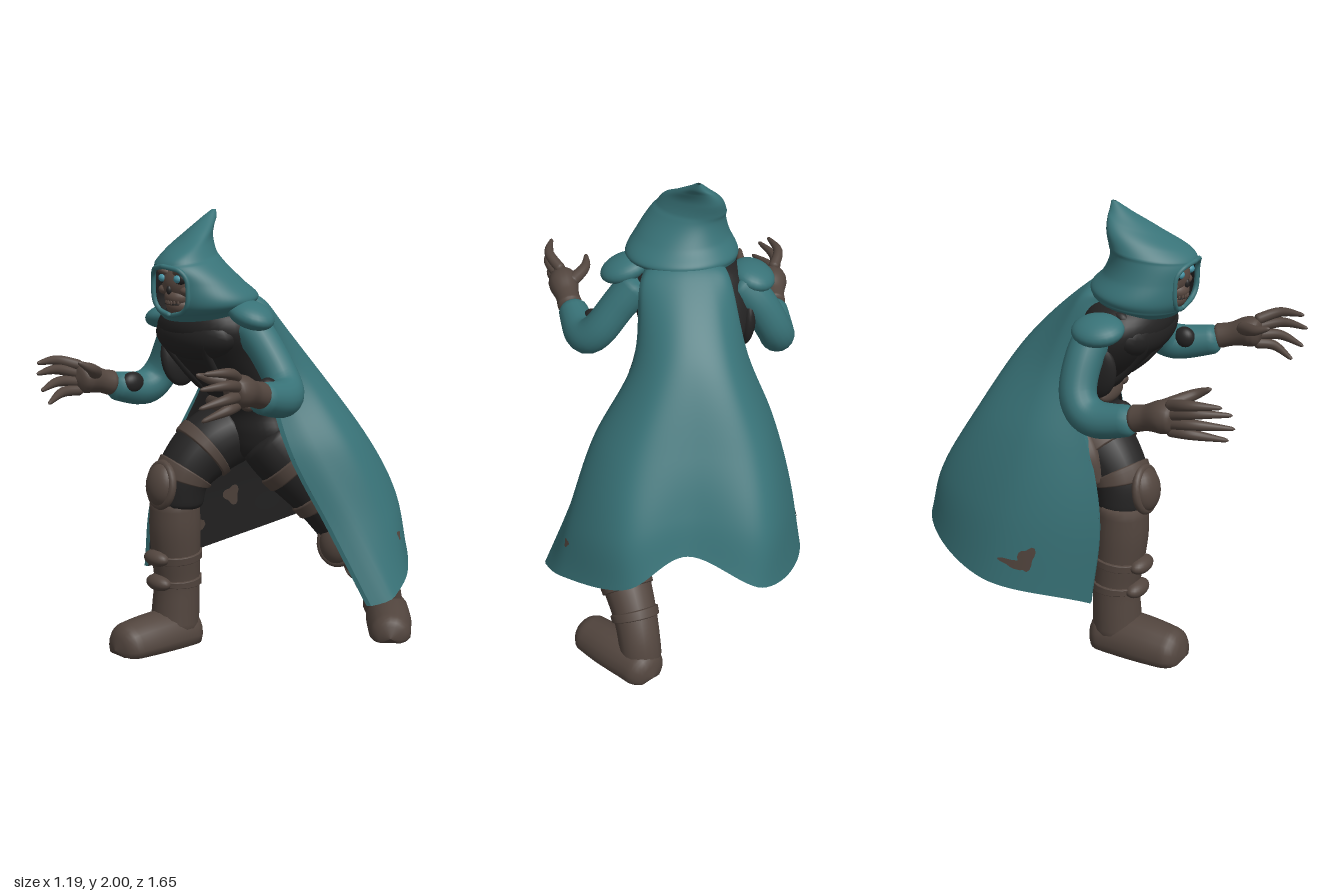
import * as THREE from 'three';
import { mergeVertices } from 'three/addons/utils/BufferGeometryUtils.js';
import { ParametricGeometry } from 'three/addons/geometries/ParametricGeometry.js';

const mat = (name, color, side = THREE.FrontSide) => {
  const m = new THREE.MeshStandardMaterial({ color, side });
  m.name = name;
  return m;
};

// Catmull-Rom sampling of equal-length number rows
function sample(rows, t) {
  const n = rows.length - 1, f = Math.min(Math.max(t, 0), 1) * n;
  const i = Math.min(Math.floor(f), n - 1), k = f - i;
  const b = rows[i], c = rows[i + 1];
  const a = rows[i - 1] || b.map((v, j) => 2 * v - c[j]);
  const d = rows[i + 2] || c.map((v, j) => 2 * v - b[j]);
  return b.map((v, j) => v + 0.5 * k * (c[j] - a[j] +
    k * (2 * a[j] - 5 * v + 4 * c[j] - d[j] + k * (3 * (v - c[j]) + d[j] - a[j]))));
}

function smooth(geo) {
  geo.deleteAttribute('uv');
  geo.deleteAttribute('normal');
  const g = mergeVertices(geo, 1e-5);
  g.computeVertexNormals();
  return g;
}

const surface = (f, nu, nv) =>
  smooth(new ParametricGeometry((u, v, p) => p.set(...f(u, v)), nu, nv));

// Round-ended tube through [x, y, z, radius] points, optionally flattened at the floor
function limbGeometry(pts, cap = 0.08, floor = false, seg = 32, sides = 18) {
  const curve = new THREE.CatmullRomCurve3(
    pts.map(p => new THREE.Vector3(p[0], p[1], p[2])), false, 'catmullrom', 0.5);
  const geo = new THREE.TubeGeometry(curve, seg, 1, sides);
  const pos = geo.attributes.position, v = new THREE.Vector3();
  for (let i = 0; i <= seg; i++) {
    const u = i / seg, c = curve.getPointAt(u), e = Math.min(u, 1 - u) / cap;
    const dome = e < 1 ? Math.sqrt(Math.max(0, 1 - (1 - e) ** 2)) : 1;
    const r = Math.max(sample(pts, curve.getUtoTmapping(u))[3] * dome, 0.0005);
    for (let j = 0; j <= sides; j++) {
      const k = i * (sides + 1) + j;
      v.fromBufferAttribute(pos, k).sub(c).multiplyScalar(r).add(c);
      pos.setXYZ(k, v.x, floor ? Math.max(v.y, 0) : v.y, v.z);
    }
  }
  return smooth(geo);
}

export function createModel() {
  const root = new THREE.Group();
  const teal = mat('teal cloth', 0x387277, THREE.DoubleSide);
  const black = mat('black cloth', 0x242323, THREE.DoubleSide);
  const brown = mat('brown leather', 0x52453e, THREE.DoubleSide);
  const bone = mat('dark bone', 0x5a4a42);
  const blue = mat('eye blue', 0x4592a3);

  const add = (name, geo, m) => {
    const mesh = new THREE.Mesh(geo, m);
    mesh.name = name;
    root.add(mesh);
    return mesh;
  };
  const limb = (name, pts, m, cap, floor) => add(name, limbGeometry(pts, cap, floor), m);
  const band = (name, pts, a, b, grow, m) => limb(name, [0, 1, 2, 3].map(i => {
    const p = sample(pts, a + (b - a) * i / 3);
    p[3] += grow;
    return p;
  }), m, 0.2);
  const ball = (name, m, x, y, z, sx, sy, sz, rx = 0, ry = 0, rz = 0) => {
    const b = add(name, new THREE.SphereGeometry(1, 24, 16), m);
    b.position.set(x, y, z);
    b.scale.set(sx, sy, sz);
    b.rotation.set(rx, ry, rz);
  };

  // Torso: elliptical sections [y, cx, cz, rx, rz]
  const torso = [[1.63, -0.09, 0.18, 0.02, 0.02], [1.58, -0.1, 0.17, 0.2, 0.15],
    [1.48, -0.115, 0.165, 0.27, 0.19], [1.35, -0.125, 0.1, 0.25, 0.18], [1.2, -0.1, 0, 0.2, 0.14],
    [1.1, -0.08, -0.06, 0.185, 0.13], [1.0, -0.07, -0.08, 0.21, 0.14], [0.9, -0.06, -0.09, 0.16, 0.12],
    [0.85, -0.06, -0.09, 0.01, 0.01]];
  add('torso', surface((u, v) => {
    const [y, cx, cz, rx, rz] = sample(torso, v), a = u * Math.PI * 2;
    return [cx + rx * Math.sin(a), y, cz + rz * Math.cos(a)];
  }, 36, 40), black);
  ball('chest', black, -0.11, 1.46, 0.24, 0.24, 0.115, 0.115, 0.3);
  for (const s of [-1, 1])
    limb('vestLapel', [[-0.11 + s * 0.2, 1.57, 0.2, 0.03], [-0.11 + s * 0.14, 1.45, 0.31, 0.02],
      [-0.11 + s * 0.1, 1.3, 0.22, 0.02], [-0.11 + s * 0.1, 1.19, 0.1, 0.02]], black);
  ball('vestFlap', black, -0.36, 1.33, 0.12, 0.045, 0.14, 0.11, 0, 0, 0.1);
  ball('beltBuckle', brown, -0.12, 1.135, 0.085, 0.1, 0.042, 0.03, -0.2);
  ball('beltPouch', brown, 0.03, 1.135, 0.06, 0.035, 0.025, 0.03);

  // Cape: six cross-sections from under the hood to the hem
  const sections = [
    [[-0.23, 1.57, 0.16], [-0.24, 1.62, 0.12], [-0.18, 1.65, 0.1], [-0.08, 1.66, 0.09],
      [0.01, 1.65, 0.1], [0.07, 1.63, 0.11], [0.09, 1.59, 0.13]],
    [[-0.28, 1.53, 0.05], [-0.27, 1.58, 0], [-0.19, 1.61, -0.02], [-0.07, 1.62, -0.03],
      [0.03, 1.61, -0.02], [0.1, 1.58, -0.01], [0.13, 1.54, 0.01]],
    [[-0.33, 1.25, 0], [-0.34, 1.28, -0.13], [-0.25, 1.33, -0.28], [-0.07, 1.36, -0.3],
      [0.07, 1.33, -0.28], [0.16, 1.28, -0.17], [0.15, 1.2, -0.03]],
    [[-0.4, 0.95, 0.12], [-0.46, 0.97, -0.18], [-0.36, 0.99, -0.48], [-0.07, 1.02, -0.51],
      [0.2, 0.98, -0.51], [0.35, 0.95, -0.29], [0.27, 0.92, -0.05]],
    [[-0.475, 0.65, 0.21], [-0.54, 0.66, -0.25], [-0.39, 0.71, -0.64], [-0.06, 0.79, -0.62],
      [0.24, 0.72, -0.66], [0.46, 0.63, -0.42], [0.43, 0.6, -0.15]],
    [[-0.54, 0.31, 0.2], [-0.59, 0.33, -0.33], [-0.37, 0.46, -0.725], [-0.04, 0.62, -0.68],
      [0.23, 0.49, -0.73], [0.51, 0.37, -0.49], [0.61, 0.265, -0.24]]];
  // point on the cape pushed inward by depth, with the left front edge curled in
  const cape = depth => (u, v) => {
    const [x, y, z] = sample(sections.map(s => sample(s, u)), v);
    const e = Math.max(0, 1 - (1 - u) / 0.05) ** 2;
    const dx = -0.05 - x, dz = 0.1 - z, l = depth / Math.max(0.05, Math.hypot(dx, dz));
    return [x + dx * l - 0.07 * v * e, y, z + dz * l + 0.03 * v * e];
  };
  const outer = cape(0), inner = cape(0.022);
  const rim = edge => (u, v) => sample([outer(...edge(u)), inner(...edge(u))], v);
  add('capeOutside', surface(outer, 80, 60), teal);
  add('capeLining', surface(inner, 80, 60), black);
  [u => [u, 1], u => [0, u], u => [1, u]].forEach(e => add('capeRim', surface(rim(e), 80, 1), teal));

  // Worn patches on the cape: [material, depth, u, v, ru, rv]
  [[brown, -0.004, 0.1, 0.91, 0.012, 0.03], [brown, -0.004, 0.115, 0.93, 0.025, 0.012],
    [brown, -0.004, 0.83, 0.87, 0.01, 0.014], [black, -0.004, 0.95, 0.4, 0.04, 0.025],
    [brown, 0.026, 0.1, 0.93, 0.03, 0.035], [brown, 0.026, 0.05, 0.96, 0.025, 0.015],
    [brown, 0.026, 0.2, 0.86, 0.015, 0.03], [brown, 0.026, 0.33, 0.92, 0.02, 0.03],
    [brown, 0.026, 0.68, 0.9, 0.02, 0.025], [brown, 0.026, 0.85, 0.88, 0.02, 0.03]]
    .forEach(([m, depth, u0, v0, ru, rv]) => add('capePatch', surface((s, t) => {
      const a = s * Math.PI * 2, r = t * (1 + 0.25 * Math.sin(3 * a + u0 * 20));
      return cape(depth)(u0 + ru * r * Math.cos(a), v0 + rv * r * Math.sin(a));
    }, 20, 4), m));

  // Hood: sections [y, cx, cz, rx, rz, tilt, front skew] with an oval face opening
  const hood = [[1.565, -0.09, 0.2, 0.2, 0.18, -0.2, 0], [1.62, -0.09, 0.215, 0.25, 0.215, -0.12, 0],
    [1.7, -0.1, 0.255, 0.205, 0.195, -0.05, 0.01], [1.78, -0.12, 0.285, 0.155, 0.175, -0.12, 0.04],
    [1.85, -0.13, 0.265, 0.112, 0.16, -0.25, 0.06], [1.91, -0.135, 0.205, 0.075, 0.105, -0.32, 0.04],
    [1.96, -0.14, 0.145, 0.04, 0.05, -0.2, 0.01], [2.0, -0.14, 0.105, 0.008, 0.01, 0, 0]];
  const hoodAt = grow => (u, v) => {
    const [y, cx, cz, rx, rz, tilt, skew] = sample(hood, v);
    const d = (y - 1.675) / (y > 1.675 ? 0.12 : 0.085);
    const w = Math.sqrt(Math.max(0, 1 - Math.abs(d) ** 3));
    const gap = Math.asin(Math.min(0.9, 0.115 * w / rx)), a = gap + u * (Math.PI * 2 - gap * 2);
    const dz = rz * grow * Math.cos(a);
    return [cx + 0.015 * w + skew * Math.cos(a) + rx * grow * Math.sin(a), y + tilt * dz, cz + dz];
  };
  add('hood', surface(hoodAt(1), 48, 90), teal);
  add('hoodLining', surface((u, v) => hoodAt(0.93)(u, v * 0.85), 40, 60), black);
  const edge = [];
  for (let i = 0; i <= 12; i++) edge.push([...hoodAt(0.99)(0, 0.062 + i * 0.033), 0.011]);
  for (let i = 12; i >= 0; i--) edge.push([...hoodAt(0.99)(1, 0.062 + i * 0.033), 0.011]);
  add('hoodOpeningRim', limbGeometry(edge, 0.01, false, 80, 10), teal);

  // Skull
  ball('cranium', bone, -0.08, 1.7, 0.325, 0.108, 0.1, 0.1);
  ball('jaw', bone, -0.08, 1.598, 0.35, 0.07, 0.048, 0.065);
  ball('upperJaw', bone, -0.08, 1.635, 0.365, 0.064, 0.045, 0.062);
  ball('noseHole', black, -0.08, 1.668, 0.418, 0.013, 0.02, 0.014);
  ball('mouth', black, -0.08, 1.607, 0.403, 0.046, 0.006, 0.018);
  for (let i = -3; i <= 3; i++)
    ball('tooth', bone, -0.08 + i * 0.013, 1.616, 0.421 - i * i * 0.002, 0.006, 0.013, 0.006);
  for (const s of [-1, 1]) {
    const x = -0.08 + s * 0.05;
    ball('eyeSocket', black, x, 1.717, 0.397, 0.034, 0.027, 0.026);
    ball('eye', blue, x, 1.717, 0.411, 0.022, 0.018, 0.019);
    ball('cheekbone', bone, -0.08 + s * 0.07, 1.665, 0.38, 0.032, 0.022, 0.03);
    limb('brow', [[x - 0.035, 1.737 + (s < 0 ? 0.01 : 0), 0.4, 0.012], [x, 1.749, 0.415, 0.013],
      [x + 0.035, 1.737 + (s > 0 ? 0.01 : 0), 0.4, 0.012]], bone);
  }

  // Arms and clawed hands
  const arm = (side, sleeve, wrist, palm, tips, thumb) => {
    limb('sleeve', sleeve, teal, 0.07);
    limb('glove', [[...wrist, 0.06], [...wrist.map((v, i) => v + (palm[i] - v) * 0.5), 0.055],
      [...palm, 0.07], [palm[0], palm[1], palm[2] + 0.06, 0.058]], brown, 0.12);
    tips.forEach((tip, i) => {
      const y = palm[1] + 0.055 - i * 0.036;
      const x0 = palm[0] + side * (0.02 - Math.abs(i - 1.5) * 0.01);
      limb('finger', [[x0, y, palm[2] + 0.02, 0.025],
        [(x0 + tip[0]) / 2 + side * 0.035, (y + tip[1]) / 2 + 0.015, palm[2] * 0.5 + tip[2] * 0.5, 0.022],
        [...tip, 0.008]], brown);
    });
    limb('thumb', [[palm[0] - side * 0.03, palm[1] + 0.02, palm[2] - 0.03, 0.032],
      [thumb[0] + side * 0.01, (palm[1] + thumb[1]) / 2 + 0.01, thumb[2] - 0.08, 0.024],
      [...thumb, 0.008]], brown);
  };
  arm(1, [[0.1, 1.53, 0.14, 0.09], [0.2, 1.42, 0.12, 0.08], [0.305, 1.28, 0.115, 0.08],
    [0.37, 1.225, 0.18, 0.082], [0.42, 1.255, 0.38, 0.064]],
  [0.42, 1.26, 0.34], [0.45, 1.3, 0.5],
  [[0.5, 1.4, 0.74], [0.5, 1.34, 0.76], [0.48, 1.26, 0.75], [0.45, 1.2, 0.71]], [0.34, 1.37, 0.64]);
  arm(-1, [[-0.3, 1.52, 0.14, 0.09], [-0.41, 1.4, 0.11, 0.082], [-0.49, 1.25, 0.12, 0.08],
    [-0.515, 1.175, 0.21, 0.08], [-0.52, 1.205, 0.41, 0.062]],
  [-0.52, 1.21, 0.38], [-0.53, 1.25, 0.53],
  [[-0.54, 1.34, 0.79], [-0.5, 1.3, 0.82], [-0.47, 1.23, 0.82], [-0.46, 1.17, 0.79]], [-0.39, 1.35, 0.68]);
  ball('leftSleevePatch', black, 0.33, 1.265, 0.23, 0.04, 0.05, 0.05);
  ball('rightSleevePatch', black, -0.475, 1.21, 0.31, 0.04, 0.05, 0.06);
  ball('leftShoulderCap', teal, 0.175, 1.565, 0.18, 0.115, 0.055, 0.095, 0, 0, -0.35);
  ball('rightShoulderCap', teal, -0.39, 1.515, 0.16, 0.1, 0.055, 0.115, 0, 0, 0.3);

  // Legs: thigh, boot, foot, knee guard and straps
  const leg = (thigh, shin, foot, knee, yaw) => {
    limb('trouserLeg', thigh, black);
    limb('boot', shin, brown, 0.05, true);
    limb('foot', foot, brown, 0.16, true);
    [0.4, 0.6].forEach(t => {
      band('bootStrap', shin, t - 0.04, t + 0.04, 0.01, brown);
      const p = sample(shin, t);
      ball('strapKnot', brown, p[0] + Math.sin(yaw) * p[3], p[1], p[2] + Math.cos(yaw) * p[3],
        0.075, 0.038, 0.045, 0, yaw);
    });
    [0.33, 0.6].forEach(t => band('thighStrap', thigh, t, t + 0.13, 0.01, brown));
    ball('kneeGuard', brown, ...knee, 0.085, 0.1, 0.06, -0.15, yaw);
    const ring = add('kneeGuardRim', new THREE.TorusGeometry(0.08, 0.02, 10, 28), brown);
    ring.position.set(...knee);
    ring.scale.y = 1.15;
    ring.rotation.set(-0.15, yaw, 0);
  };
  leg([[-0.15, 1.0, -0.05, 0.15], [-0.21, 0.93, 0.08, 0.15], [-0.25, 0.8, 0.2, 0.125], [-0.27, 0.64, 0.22, 0.11]],
    [[-0.28, 0.71, 0.23, 0.112], [-0.285, 0.56, 0.225, 0.118], [-0.292, 0.42, 0.215, 0.112],
      [-0.298, 0.3, 0.205, 0.106], [-0.302, 0.17, 0.21, 0.11], [-0.305, 0.04, 0.22, 0.115]],
    [[-0.3, 0.03, 0.09, 0.11], [-0.305, 0.04, 0.22, 0.12], [-0.312, 0.035, 0.38, 0.12], [-0.32, 0.025, 0.56, 0.105]],
    [-0.26, 0.77, 0.325], -0.05);
  leg([[-0.01, 1.0, -0.08, 0.15], [0.07, 0.88, -0.14, 0.15], [0.18, 0.7, -0.25, 0.125], [0.27, 0.5, -0.35, 0.1]],
    [[0.28, 0.53, -0.36, 0.1], [0.255, 0.43, -0.45, 0.112], [0.22, 0.35, -0.54, 0.108],
      [0.19, 0.25, -0.63, 0.098], [0.175, 0.15, -0.69, 0.094], [0.17, 0.04, -0.71, 0.096]],
    [[0.12, 0.03, -0.81, 0.095], [0.19, 0.04, -0.72, 0.105], [0.3, 0.035, -0.61, 0.105], [0.43, 0.025, -0.47, 0.09]],
    [0.285, 0.5, -0.26], 0.45);
  // Holster on the forward thigh
  limb('holster', [[-0.32, 1.03, 0.04, 0.035], [-0.355, 0.92, 0.1, 0.05], [-0.36, 0.79, 0.14, 0.035]], brown);

  return root;
}
